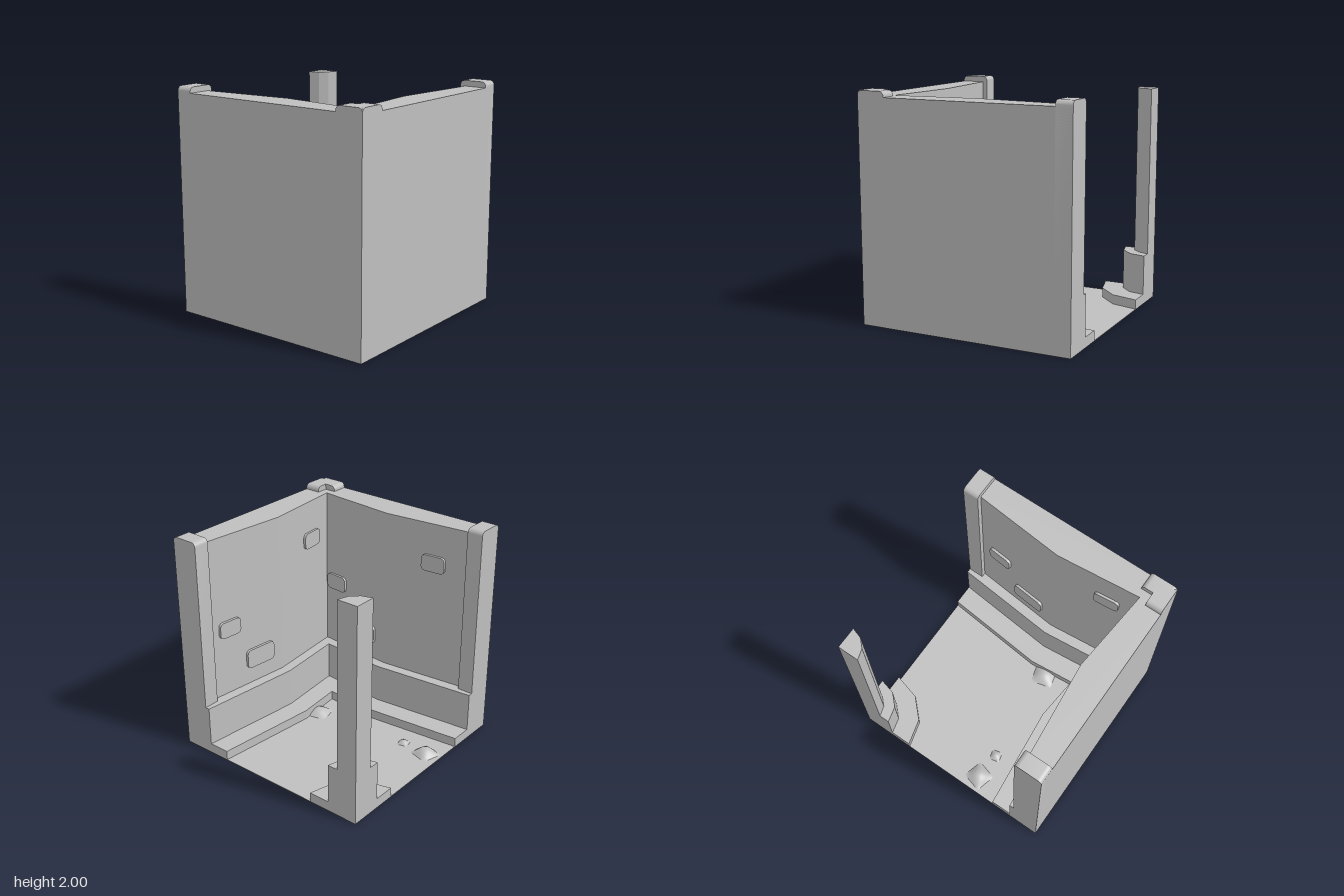
import * as THREE from 'three';
import { toCreasedNormals } from 'three/addons/utils/BufferGeometryUtils.js';

const E = 0.9625; // half of the footprint
const STEPS = [0, 0.09, 0.45, 1.95]; // heights of kerb, ledge and wall

export function createModel() {
  const model = new THREE.Group();
  const stone = new THREE.MeshStandardMaterial({ color: 0xbfbfbf });
  stone.name = 'stoneGrey';

  function add(geometry, name) {
    const mesh = new THREE.Mesh(geometry, stone);
    mesh.name = name;
    model.add(mesh);
    return mesh;
  }

  // Vertical prism from a plan outline of [x, z] points
  function prism(points, y0, y1, name) {
    const shape = new THREE.Shape(points.map(([x, z]) => new THREE.Vector2(x, z)));
    const geo = new THREE.ExtrudeGeometry(shape, { depth: y1 - y0, bevelEnabled: false });
    geo.rotateX(Math.PI / 2).translate(0, y1, 0);
    return add(geo, name);
  }

  // Floor
  add(new THREE.BoxGeometry(2 * E, 0.004, 2 * E).translate(0, 0.002, 0), 'floor');

  // Stepped walls on two sides, slightly bowed inwards: [end, middle, inner corner]
  const wallLines = [[0.48, 0.385, 0.425], [0.673, 0.58, 0.64], [0.77, 0.675, 0.745]];
  // Stepped corner column: plan points on one half of each arc
  const columnArcs = [
    [[0, 0.478], [0.243, 0.414]],
    [[0, 0.284], [0.145, 0.248]],
    [[0, 0.19], [0.095, 0.16]],
  ];
  const wallNames = ['wallKerb', 'wallLedge', 'wall'];
  const columnNames = ['columnFoot', 'columnPlinth', 'cornerColumn'];
  for (let i = 0; i < 3; i++) {
    const [end, mid, corner] = wallLines[i];
    prism([
      [-E, E], [-E, end], [0, mid], [corner, corner], [mid, 0], [end, -E], [E, -E], [E, E],
    ], STEPS[i], STEPS[i + 1], wallNames[i]);

    const half = columnArcs[i];
    const arc = [...half, ...half.map(([a, b]) => [b, a]).reverse()];
    prism([[0, 0], ...arc].map(([a, b]) => [a - E, b - E]), STEPS[i], STEPS[i + 1], columnNames[i]);
  }

  // Blocks with rounded top edges: end posts and the L-shaped corner cap
  function roundedBlock(y0, name, x, z, turn) {
    const w = 0.125, d = 0.145, r = 0.04;
    const s = new THREE.Shape();
    s.moveTo(-w, y0);
    s.lineTo(w, y0);
    s.lineTo(w, 2 - r);
    s.absarc(w - r, 2 - r, r, 0, Math.PI / 2);
    s.lineTo(-w + r, 2);
    s.absarc(-w + r, 2 - r, r, Math.PI / 2, Math.PI);
    s.closePath();
    const geo = new THREE.ExtrudeGeometry(s, { depth: d, bevelEnabled: false, curveSegments: 6 });
    geo.translate(0, 0, -d / 2);
    const mesh = add(toCreasedNormals(geo, 0.6), name);
    mesh.position.set(x, 0, z);
    mesh.rotation.y = turn;
  }
  const along = E - 0.125, edge = E - 0.0725;
  roundedBlock(STEPS[2], 'backEndPost', along, -edge, 0);
  roundedBlock(STEPS[2], 'sideEndPost', -edge, along, Math.PI / 2);
  roundedBlock(STEPS[3], 'cornerCap', along, edge, 0);
  roundedBlock(STEPS[3], 'cornerCap', edge, along, Math.PI / 2);

  // Raised bricks with rounded corners, repeated on both walls
  function brickGeometry(w, h) {
    const a = w / 2, b = h / 2, r = 0.04;
    const s = new THREE.Shape();
    s.absarc(a - r, b - r, r, 0, Math.PI / 2);
    s.absarc(-a + r, b - r, r, Math.PI / 2, Math.PI);
    s.absarc(-a + r, -b + r, r, Math.PI, Math.PI * 1.5);
    s.absarc(a - r, -b + r, r, Math.PI * 1.5, Math.PI * 2);
    const geo = new THREE.ExtrudeGeometry(s, { depth: 0.035, bevelEnabled: false, curveSegments: 4 });
    return toCreasedNormals(geo.translate(0, 0, -0.012), 0.6);
  }
  const bricks = [[-0.605, 1.09, 0.23, 0.15], [-0.27, 0.7, 0.315, 0.18], [0.485, 1.585, 0.23, 0.15]];
  for (const [t, y, w, h] of bricks) {
    const depth = 0.675 + 0.096 * Math.abs(t);
    const tilt = 0.096 * Math.sign(t);
    const side = add(brickGeometry(w, h), 'sideWallBrick');
    side.position.set(depth, y, t);
    side.rotation.y = -Math.PI / 2 + tilt;
    const front = add(brickGeometry(w, h), 'frontWallBrick');
    front.position.set(-t, y, depth);
    front.rotation.y = -Math.PI + tilt;
  }

  // Domed square stones in the floor
  const cobbles = [[-0.82, 0.223, 0.19, 0.06, -0.27], [-0.57, 0.24, 0.095, 0.03, 0.25], [0.36, 0.16, 0.2, 0.05, 0.25]];
  for (const [x, z, size, height, turn] of cobbles) {
    const geo = new THREE.PlaneGeometry(size, size, 8, 8).rotateX(-Math.PI / 2);
    const p = geo.attributes.position;
    for (let i = 0; i < p.count; i++) {
      const u = (2 * p.getX(i)) / size, v = (2 * p.getZ(i)) / size;
      p.setY(i, 0.004 + height * (1 - u * u) * (1 - v * v));
    }
    geo.computeVertexNormals();
    const mesh = add(geo, 'floorCobble');
    mesh.position.set(x, 0, z);
    mesh.rotation.y = turn;
  }

  return model;
}
